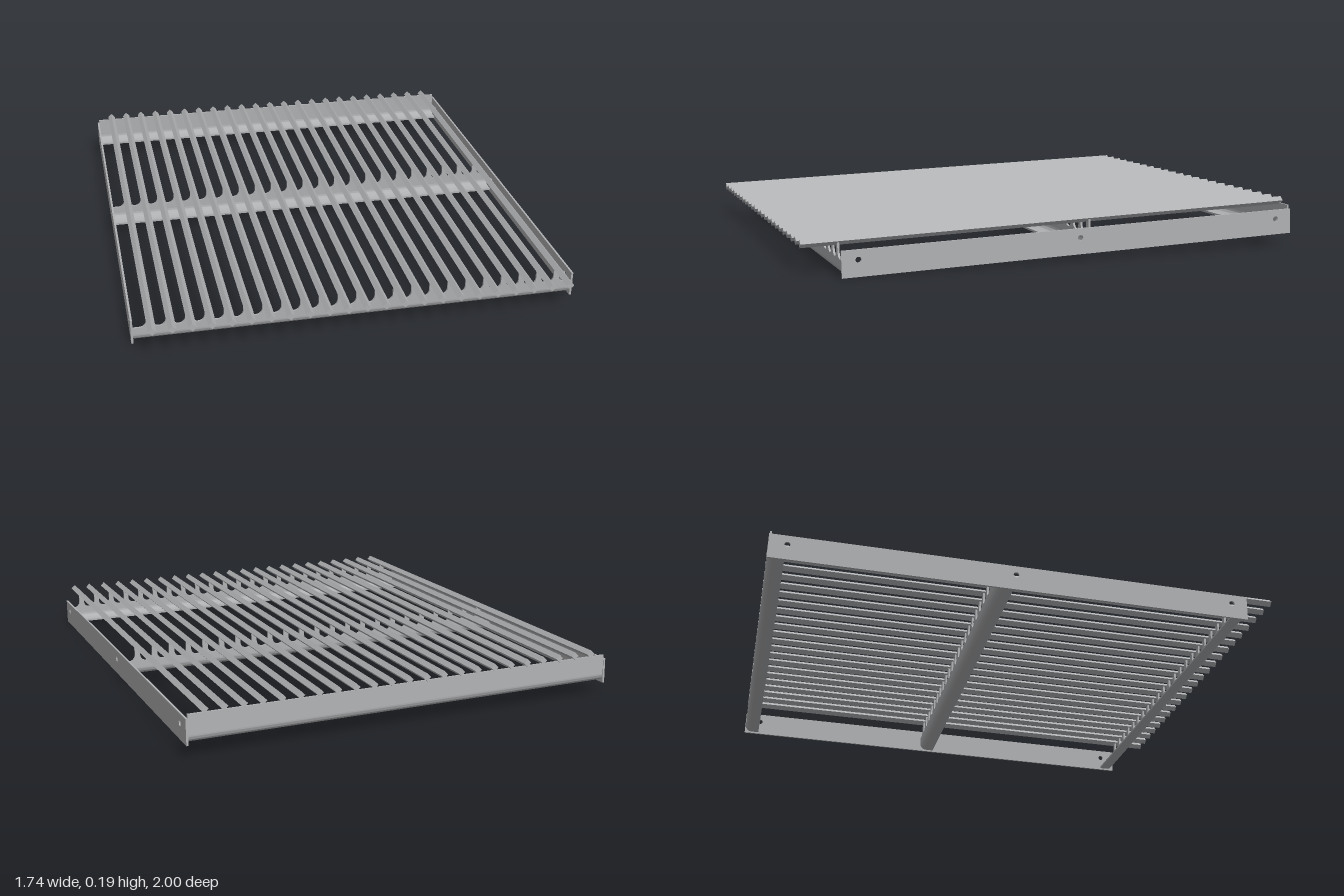
import * as THREE from 'three';
import { toCreasedNormals } from 'three/addons/utils/BufferGeometryUtils.js';

const BARS = 23, PITCH = 1.6 / 22, SLOPE = 0.0268;
const HALF = 0.862;      // half width between the side plates
const BAR_Y = 0.126;     // bar centre height above the frame's lower edge
const BAR_R = 0.0155;    // half diagonal of a bar
const SHEET = 0.008;     // sheet thickness

export function createModel() {
  const model = new THREE.Group();
  model.name = 'slopedGrate';
  const steel = new THREE.MeshStandardMaterial({ color: 0xb0b1b3 });
  steel.name = 'steel grey';

  // everything shares the same slope, rising towards the back
  const frame = new THREE.Group();
  frame.name = 'frame';
  frame.rotation.x = SLOPE;
  frame.position.set(0, 0.865 * Math.sin(SLOPE), -0.003);
  model.add(frame);

  const add = (name, geometry, x = 0, y = 0, z = 0, parent = frame) => {
    const mesh = new THREE.Mesh(geometry, steel);
    mesh.name = name;
    mesh.position.set(x, y, z);
    parent.add(mesh);
    return mesh;
  };
  // extrusion centred on its own depth
  const extrude = (shape, depth) => toCreasedNormals(
    new THREE.ExtrudeGeometry(shape, { depth, bevelEnabled: false, curveSegments: 10 })
      .translate(0, 0, -depth / 2), 0.6);

  // square bars set on edge
  const diamond = new THREE.Shape([[0, -1], [1, 0], [0, 1], [-1, 0]]
    .map(([x, y]) => new THREE.Vector2(x * BAR_R, y * BAR_R)));
  const barGeometry = extrude(diamond, 2);
  const bars = new THREE.Group();
  bars.name = 'bars';
  frame.add(bars);
  for (let i = 0; i < BARS; i++) add('bar', barGeometry, -0.8 + i * PITCH, BAR_Y, 0, bars);

  // side plates with three bolt holes each
  const side = new THREE.Shape();
  side.moveTo(-1, 0).lineTo(0.868, 0).lineTo(0.868, 0.1).lineTo(-1, 0.1).closePath();
  for (const z of [0.805, -0.065, -0.93]) {
    side.holes.push(new THREE.Path().absarc(z, 0.063, 0.011, 0, Math.PI * 2, true));
  }
  const sideGeometry = extrude(side, SHEET).rotateY(-Math.PI / 2);
  add('leftSidePlate', sideGeometry, HALF + SHEET / 2);
  add('rightSidePlate', sideGeometry, -HALF - SHEET / 2);

  // rounded bend and flange along the foot of each cross support
  const y0 = 0.007, r = 0.03;
  const foot = new THREE.Shape();
  foot.moveTo(0, y0 + r);
  foot.absarc(r, y0 + r, r, Math.PI, Math.PI * 1.5, false);
  foot.lineTo(0.063, y0).lineTo(0.063, y0 + SHEET).lineTo(r, y0 + SHEET);
  foot.absarc(r, y0 + r, r - SHEET, Math.PI * 1.5, Math.PI, true);
  foot.closePath();

  // upright web with round cut-outs, leaving notched fingers under the bars
  const webBottom = y0 + r, cutY = 0.09, finger = 0.011;
  const cutR = PITCH / 2 - finger;
  const scalloped = new THREE.Shape();
  scalloped.moveTo(-HALF, webBottom).lineTo(HALF, webBottom).lineTo(HALF, cutY - cutR);
  scalloped.lineTo(0.8 + finger + cutR, cutY - cutR);
  for (let i = 0; i < BARS; i++) {
    const x = 0.8 - i * PITCH;
    // right-hand cut-out, only its left quarter beside the first finger
    const start = i === 0 ? Math.PI * 1.5 : Math.PI * 2;
    scalloped.absarc(x + finger + cutR, cutY, cutR, start, Math.PI, true);
    scalloped.lineTo(x + finger, BAR_Y - BAR_R + finger);
    scalloped.lineTo(x, BAR_Y - BAR_R);
    scalloped.lineTo(x - finger, BAR_Y - BAR_R + finger);
  }
  scalloped.absarc(-0.8 - finger - cutR, cutY, cutR, 0, -Math.PI / 2, true);
  scalloped.lineTo(-HALF, cutY - cutR).closePath();

  // plain web for the back
  const plain = new THREE.Shape();
  plain.moveTo(-HALF, webBottom).lineTo(HALF, webBottom);
  plain.lineTo(HALF, 0.115).lineTo(-HALF, 0.115).closePath();

  // dir: direction in z in which the flange runs from the outer web face
  const support = (name, webShape, z, dir) => {
    const group = new THREE.Group();
    group.name = name;
    group.position.z = z;
    frame.add(group);
    add('web', extrude(webShape, SHEET), 0, 0, dir * SHEET / 2, group);
    add('flange', extrude(foot, HALF * 2).rotateY(-dir * Math.PI / 2), 0, 0, 0, group);
  };
  support('frontSupport', scalloped, 0.866, -1);
  support('middleSupport', scalloped, -0.135, 1);
  support('backSupport', plain, -0.998, 1);

  return model;
}
